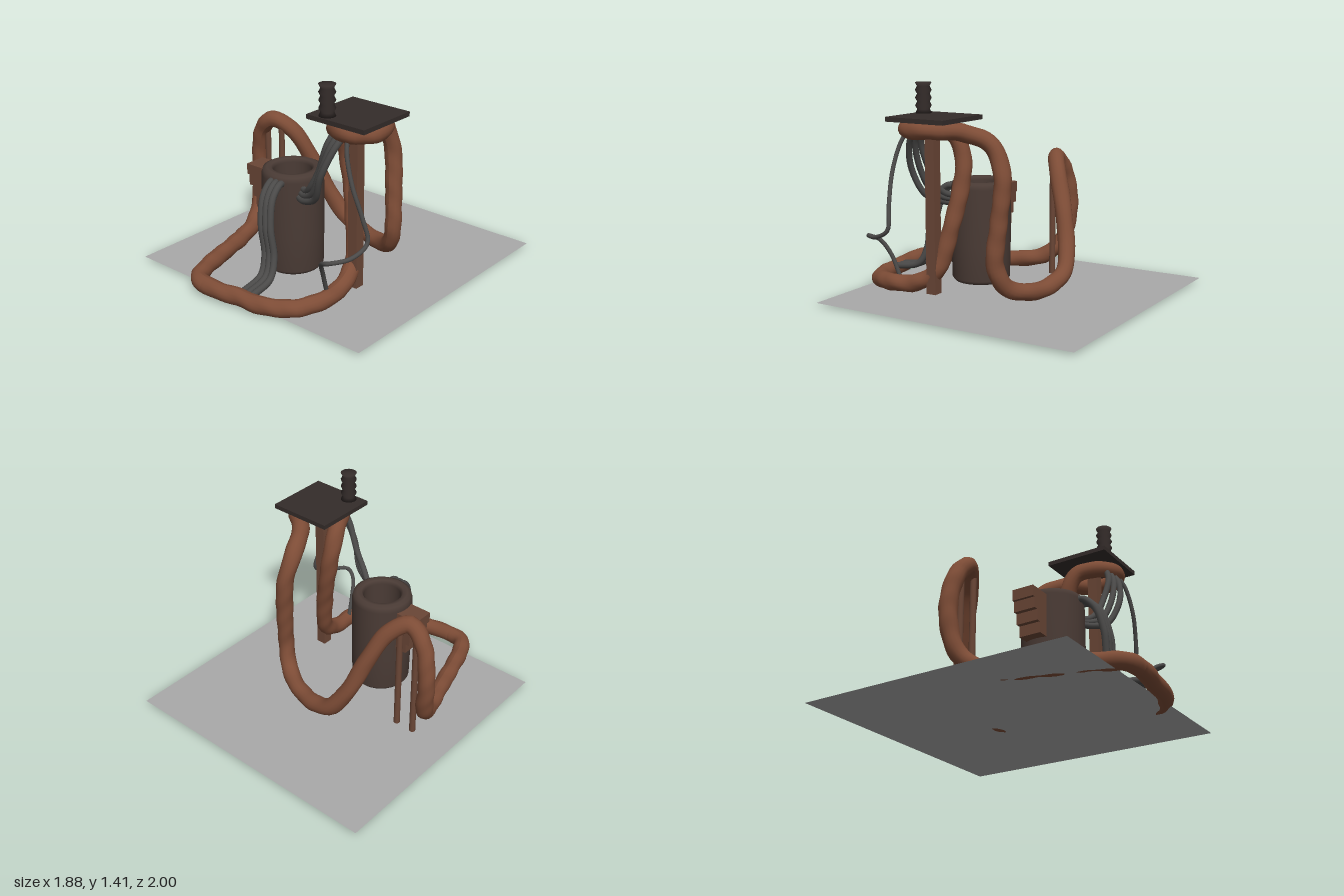
import * as THREE from 'three';

const V = (p) => new THREE.Vector3(...p);
const paint = (color, side = THREE.FrontSide) => new THREE.MeshStandardMaterial({ color, side });

const rust = paint(0x7d4c36);
const wood = paint(0x6a4636);
const iron = paint(0x4a3b35, THREE.DoubleSide);
const dark = paint(0x342c2a);
const rubber = paint(0x4b4a49);
const ground = paint(0xaaaaaa, THREE.DoubleSide);

export function createModel() {
  const model = new THREE.Group();

  const add = (name, geometry, material, position = [0, 0, 0], parent = model) => {
    const mesh = new THREE.Mesh(geometry, material);
    mesh.name = name;
    mesh.position.set(...position);
    parent.add(mesh);
    return mesh;
  };
  // Box given by its minimum and maximum corners
  const box = (name, a, b, material, parent) => add(name,
    new THREE.BoxGeometry(b[0] - a[0], b[1] - a[1], b[2] - a[2]), material,
    a.map((v, i) => (v + b[i]) / 2), parent);
  const tube = (name, points, radius, material, closed = false, parent = model) => add(name,
    new THREE.TubeGeometry(new THREE.CatmullRomCurve3(points.map(V), closed),
      closed ? 260 : 48, radius, closed ? 16 : 10, closed), material, [0, 0, 0], parent);

  // Thin ground sheet
  const sheet = new THREE.PlaneGeometry(1.88, 1.87).rotateX(-Math.PI / 2);
  add('groundSheet', sheet, ground, [0, 0.025, -0.065]);

  // One continuous pipe looping round the whole assembly
  const pipe = tube('mainPipe', [
    [-0.25, 0.075, 0.94], [0, 0.07, 0.91], [0.22, 0.065, 0.875], [0.38, 0.075, 0.79],
    [0.455, 0.09, 0.63], [0.45, 0.105, 0.45], [0.42, 0.2, 0.29], [0.37, 0.45, 0.22],
    [0.31, 0.7, 0.18], [0.265, 0.95, 0.18], [0.28, 1.09, 0.25], [0.36, 1.13, 0.39],
    [0.5, 1.14, 0.44], [0.61, 1.14, 0.35], [0.58, 1.14, 0.19], [0.43, 1.12, 0.06],
    [0.35, 1.04, -0.1], [0.36, 0.85, -0.18], [0.39, 0.55, -0.165], [0.4, 0.28, -0.15],
    [0.34, 0.14, -0.19], [0.2, 0.085, -0.26], [0, 0.09, -0.32], [-0.16, 0.15, -0.335],
    [-0.27, 0.3, -0.3], [-0.37, 0.57, -0.21], [-0.46, 0.78, -0.12], [-0.58, 0.86, -0.045],
    [-0.69, 0.76, -0.05], [-0.745, 0.5, -0.07], [-0.71, 0.24, -0.03], [-0.645, 0.11, 0.1],
    [-0.575, 0.08, 0.3], [-0.5, 0.08, 0.55], [-0.42, 0.08, 0.8], [-0.35, 0.08, 0.91],
  ], 0.057, rust, true);
  // Slightly lumpy surface: push vertices along their normals
  const pos = pipe.geometry.attributes.position;
  const nor = pipe.geometry.attributes.normal;
  for (let i = 0; i < pos.count; i++) {
    const p = new THREE.Vector3().fromBufferAttribute(pos, i);
    const n = new THREE.Vector3().fromBufferAttribute(nor, i);
    const lump = 0.004 * Math.sin(p.x * 29 + p.y * 17) * Math.cos(p.z * 31 - p.y * 23);
    pos.setXYZ(i, ...p.addScaledVector(n, lump));
  }
  pipe.geometry.computeVertexNormals();

  // Hollow drum with rounded rims
  const drum = [
    [0.125, 0.06], [0.14, 0.035], [0.18, 0.035], [0.2, 0.06], [0.205, 0.3], [0.205, 0.69],
    [0.195, 0.725], [0.17, 0.737], [0.14, 0.733], [0.125, 0.71], [0.125, 0.06],
  ].map(([r, y]) => new THREE.Vector2(r, y));
  add('drum', new THREE.LatheGeometry(drum, 40), iron, [-0.1, 0, 0.28]);

  // Stepped bracket on the drum's side, narrowing downwards
  const bracket = new THREE.Group();
  bracket.name = 'steppedBracket';
  model.add(bracket);
  [-0.45, -0.43, -0.4, -0.37].forEach((x, i) => {
    const top = 0.68 - i * 0.0725;
    box('bracketStep', [x, top - 0.0725, 0.2], [-0.27, top, 0.35], wood, bracket);
  });

  // Round stakes holding up the rear loop
  for (const x of [-0.64, -0.51]) {
    add('stake', new THREE.CylinderGeometry(0.021, 0.021, 0.79, 12), wood, [x, 0.425, -0.055]);
  }

  // Table on a square post
  box('tablePost', [0.41, 0.055, 0.26], [0.48, 1.19, 0.33], wood);
  box('tableTop', [0.22, 1.19, 0.06], [0.665, 1.22, 0.5], dark);

  // Ribbed spindle standing on the table
  const ribs = [new THREE.Vector2(0, 0)];
  for (let i = 0; i <= 8; i++) ribs.push(new THREE.Vector2(i % 2 ? 0.041 : 0.054, i * 0.025));
  ribs.push(new THREE.Vector2(0, 0.2));
  add('spindle', new THREE.LatheGeometry(ribs, 20), dark, [0.335, 1.22, 0.44]);

  // Two bundles of three cables: table to drum, and drum to front pipe
  for (let i = -1; i <= 1; i++) {
    const d = i * 0.04;
    tube('upperCable', [
      [0.42 + d, 1.13, 0.42], [0.385 + d, 1.03, 0.475 + d * 0.4], [0.315 + d, 0.85, 0.49 + d],
      [0.23 + d, 0.69 - d * 0.5, 0.46 + d * 0.6], [0.13, 0.63 - d * 0.7, 0.42 + d * 0.4],
      [0.04, 0.62 - d * 0.7, 0.37 + d * 0.4],
    ], 0.021, rubber);
    tube('lowerCable', [
      [-0.08 + d, 0.67, 0.43], [-0.06 + d, 0.69, 0.49], [-0.045 + d, 0.62, 0.575],
      [-0.02 + d, 0.45, 0.625], [0.01 + d, 0.25, 0.63], [0.03 + d, 0.13, 0.69],
      [0.045 + d, 0.09, 0.87],
    ], 0.023, rubber);
  }

  // Single loose cable hanging beside the table
  tube('looseCable', [
    [0.5, 1.12, 0.45], [0.53, 1.03, 0.49], [0.59, 0.85, 0.51], [0.655, 0.65, 0.49],
    [0.685, 0.5, 0.48], [0.66, 0.435, 0.6], [0.58, 0.42, 0.72], [0.5, 0.38, 0.69],
    [0.46, 0.28, 0.63], [0.44, 0.12, 0.57],
  ], 0.014, rubber);

  return model;
}
